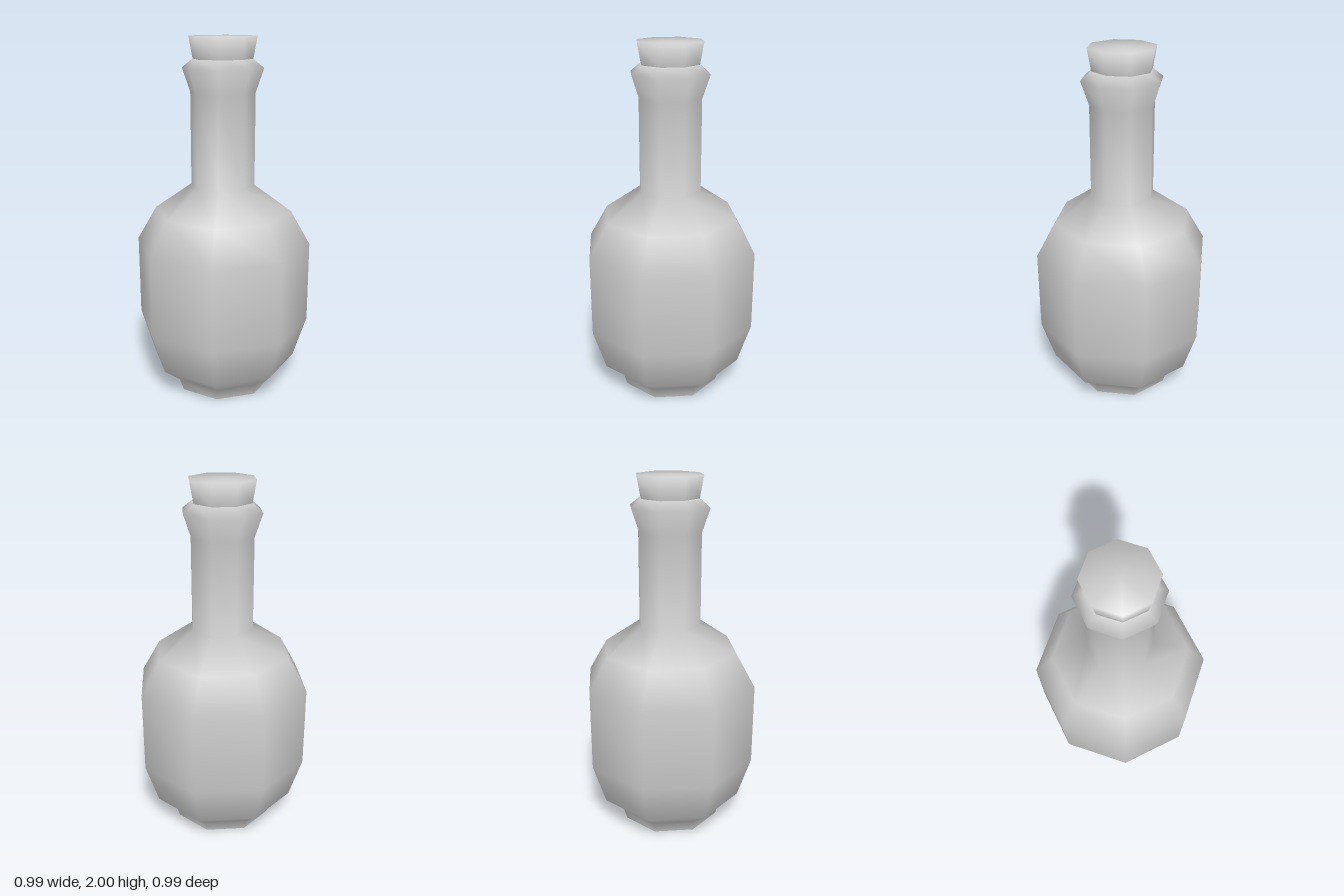
import * as THREE from 'three';

const SIDES = 8;

export function createModel() {
  const group = new THREE.Group();
  const material = new THREE.MeshStandardMaterial({ color: 0xcccccc });

  const add = (name, geometry) => {
    const mesh = new THREE.Mesh(geometry, material);
    mesh.name = name;
    group.add(mesh);
    return mesh;
  };
  // Eight-sided turned part from [radius, height] pairs, listed bottom to top
  const turned = (profile) =>
    new THREE.LatheGeometry(profile.map(([r, y]) => new THREE.Vector2(r, y)), SIDES);

  // Foot, belly, shoulder, neck and flared lip
  add('bottle', turned([
    [0.29, 0], [0.31, 0.07], [0.42, 0.16], [0.495, 0.4], [0.495, 0.86],
    [0.385, 1.05], [0.178, 1.195], [0.178, 1.705], [0.222, 1.835],
    [0.163, 1.882], [0, 1.882],
  ]));

  // Flat underside of the foot
  add('base', new THREE.CircleGeometry(0.29, SIDES).rotateX(Math.PI / 2));

  // Tapered stopper, softly shaded over its top edge
  add('stopper', turned([[0.163, 1.88], [0.185, 2], [0, 2]]));

  return group;
}
